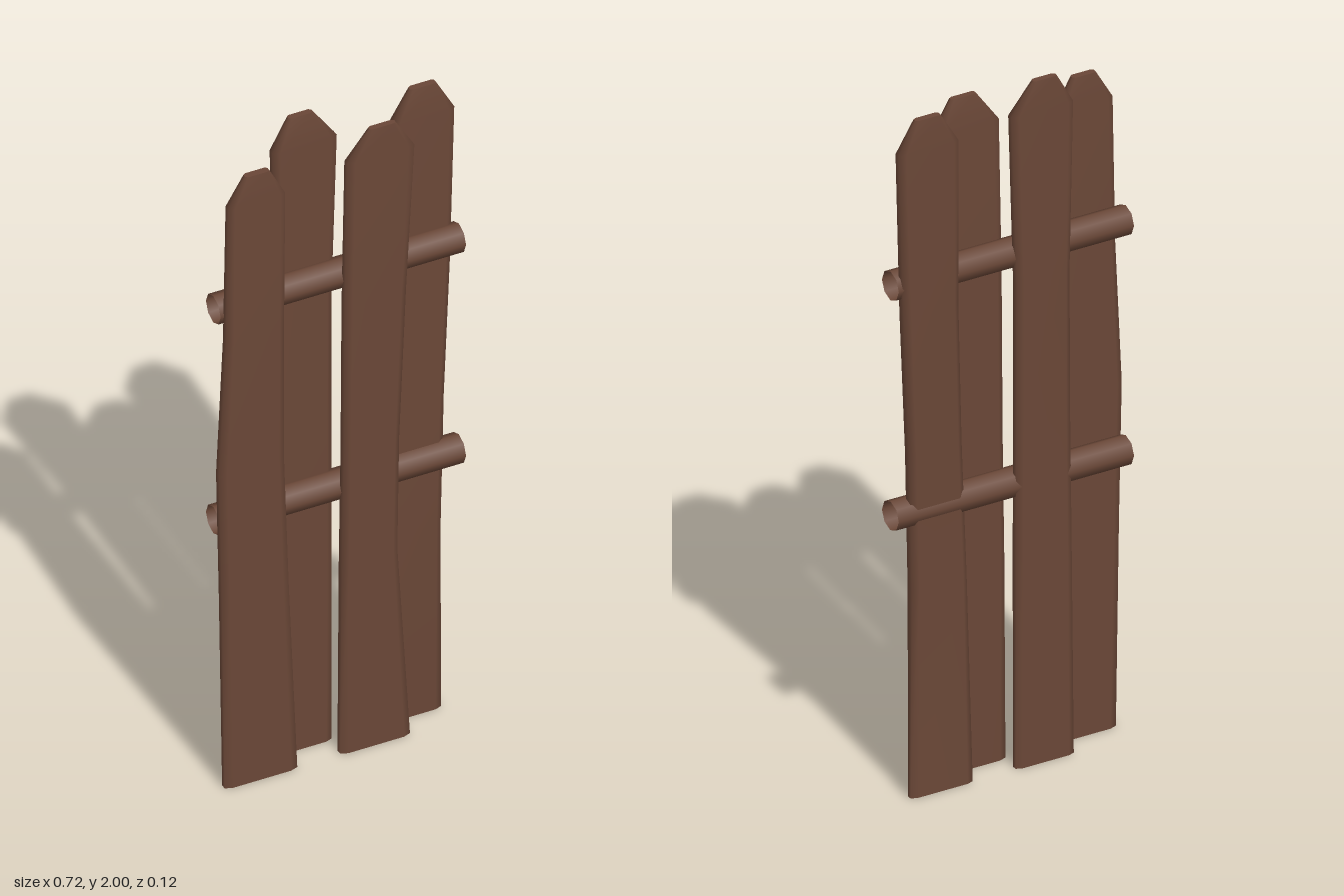
import * as THREE from 'three';

// Warped plank: each row is [y, xLeft, xRight, zBack, zFront]; open at the foot, closed at the peak
function plankGeometry(rows) {
  // softened rectangular section, counter-clockwise seen from above
  const section = [
    [-1, 0.5], [-0.8, 1], [0.8, 1], [1, 0.5],
    [1, -0.5], [0.8, -1], [-0.8, -1], [-1, -0.5],
  ];
  const n = section.length;
  const positions = [];
  const index = [];
  for (const [y, x0, x1, z0, z1] of rows) {
    for (const [u, v] of section) {
      positions.push((x0 + x1) / 2 + (u * (x1 - x0)) / 2, y, (z0 + z1) / 2 + (v * (z1 - z0)) / 2);
    }
  }
  for (let r = 0; r < rows.length - 1; r++) {
    for (let i = 0; i < n; i++) {
      const a = r * n + i;
      const b = r * n + ((i + 1) % n);
      index.push(a, b, b + n, a, b + n, a + n);
    }
  }
  // peak cap with its own vertices, to keep a sharp edge
  const last = (rows.length - 1) * n;
  const cap = positions.length / 3;
  positions.push(...positions.slice(last * 3, (last + n) * 3));
  for (let i = 1; i < n - 1; i++) index.push(cap, cap + i, cap + i + 1);

  const geometry = new THREE.BufferGeometry();
  geometry.setAttribute('position', new THREE.Float32BufferAttribute(positions, 3));
  geometry.setIndex(index);
  geometry.computeVertexNormals();
  return geometry;
}

const PLANKS = {
  frontLeftPlank: [
    [0, -0.345, -0.135, 0.025, 0.055],
    [0.6, -0.355, -0.162, 0.025, 0.06],
    [1.0, -0.362, -0.175, 0.022, 0.06],
    [1.42, -0.342, -0.175, 0.022, 0.06],
    [1.84, -0.335, -0.17, 0.025, 0.055],
    [1.925, -0.285, -0.215, 0.03, 0.05],
  ],
  backLeftPlank: [
    [0, -0.175, 0.0, -0.045, -0.018],
    [0.6, -0.168, 0.0, -0.048, -0.014],
    [1.0, -0.162, 0.0, -0.05, -0.016],
    [1.42, -0.156, 0.003, -0.058, -0.02],
    [1.91, -0.166, 0.02, -0.058, -0.025],
    [2.0, -0.115, -0.045, -0.056, -0.038],
  ],
  frontRightPlank: [
    [0, -0.01, 0.192, 0.022, 0.053],
    [0.6, -0.005, 0.155, 0.018, 0.056],
    [0.95, 0.0, 0.16, 0.018, 0.056],
    [1.42, 0.003, 0.18, 0.018, 0.056],
    [1.87, 0.01, 0.205, 0.022, 0.053],
    [1.96, 0.075, 0.15, 0.033, 0.05],
  ],
  backRightPlank: [
    [0, 0.13, 0.317, -0.045, -0.018],
    [0.6, 0.14, 0.305, -0.035, 0.008],
    [1.0, 0.162, 0.32, -0.046, -0.004],
    [1.42, 0.178, 0.343, -0.056, -0.014],
    [1.89, 0.18, 0.36, -0.058, -0.025],
    [1.98, 0.235, 0.31, -0.054, -0.035],
  ],
};

export function createModel() {
  const group = new THREE.Group();
  group.name = 'woodenFence';
  const wood = new THREE.MeshStandardMaterial({ color: 0x6a4737, side: THREE.DoubleSide });
  wood.name = 'brownWood';

  // Pointed planks, alternately before and behind the rails
  for (const [name, rows] of Object.entries(PLANKS)) {
    const plank = new THREE.Mesh(plankGeometry(rows), wood);
    plank.name = name;
    group.add(plank);
  }

  // Hollow horizontal rails
  const railGeometry = new THREE.CylinderGeometry(0.042, 0.042, 0.71, 8, 1, true).rotateZ(Math.PI / 2);
  for (const [name, y] of [['lowerRail', 0.822], ['upperRail', 1.493]]) {
    const rail = new THREE.Mesh(railGeometry, wood);
    rail.name = name;
    rail.position.set(0.004, y, -0.006);
    group.add(rail);
  }
  return group;
}
